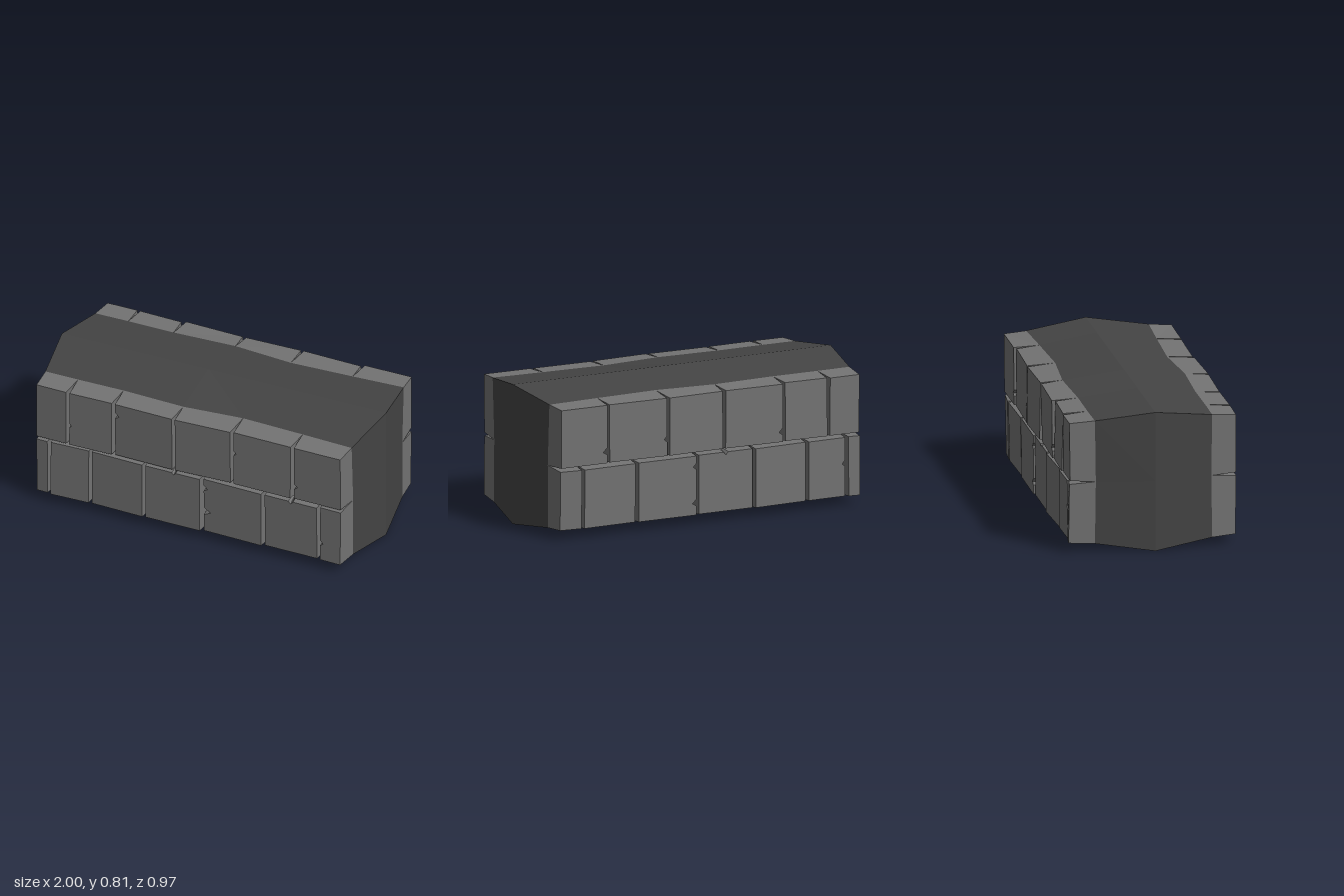
import * as THREE from 'three';

const END = 0.948, MID = 0.41, MID_Z = 0.33;

// Two courses of bricks: joint positions in x, depth of the outer seam at each joint,
// heights, and chips as [side 0 front / 1 back, brick, edge, position, depth, length]
const courses = [
  {
    name: 'upperCourse', outer: 0.765,
    joints: [-END, -0.745, -0.465, -0.09, 0.265, 0.64, END],
    seam: [0.335, 0.337, 0.335, 0.35, 0.32, 0.335, 0.35],
    chips: [[0, 1, 'left', 0.545, 0.012, 0.03], [0, 2, 'left', 0.68, 0.026, 0.04],
      [0, 4, 'left', 0.62, 0.016, 0.03], [0, 5, 'left', 0.5, 0.022, 0.035],
      [1, 2, 'left', 0.48, 0.022, 0.04], [1, 4, 'left', 0.52, 0.018, 0.035],
      [1, 5, 'left', 0.49, 0.026, 0.04]],
  },
  {
    name: 'lowerCourse', outer: 0.05,
    joints: [-END, -0.86, -0.61, -0.275, 0.08, 0.46, 0.8, END],
    seam: [0.335, 0.34, 0.33, 0.335, 0.34, 0.33, 0.335, 0.335],
    chips: [[0, 4, 'left', 0.34, 0.024, 0.035], [0, 4, 'left', 0.19, 0.042, 0.05],
      [0, 6, 'left', 0.17, 0.02, 0.035], [0, 5, 'top', 0.63, 0.016, 0.03],
      [0, 3, 'top', -0.09, 0.014, 0.025], [1, 4, 'left', 0.34, 0.02, 0.035],
      [1, 4, 'left', 0.13, 0.024, 0.04], [1, 1, 'left', 0.25, 0.018, 0.035],
      [1, 3, 'top', -0.1, 0.016, 0.03]],
  },
];

// Seeded generator, returns -0.5 .. 0.5
function makeRandom(seed) {
  return () => {
    seed = (seed * 16807) % 2147483647;
    return seed / 2147483647 - 0.5;
  };
}

// Collects triangles; flip reverses the corner order for mirrored parts
function meshBuilder(flip) {
  const pos = [];
  const tri = (a, b, c) => pos.push(...a, ...(flip ? c : b), ...(flip ? b : c));
  return {
    tri,
    quad(a, b, c, d) { tri(a, b, c); tri(a, c, d); },
    build(name, material) {
      const g = new THREE.BufferGeometry();
      g.setAttribute('position', new THREE.Float32BufferAttribute(pos, 3));
      g.computeVertexNormals();
      const mesh = new THREE.Mesh(g, material);
      mesh.name = name;
      return mesh;
    },
  };
}

// One brick: a slightly tilted, chipped face tapering out to its root on the core
function makeBrick(course, i, side, rnd, material) {
  const s = side ? -1 : 1;
  const upper = course.outer > MID;
  const x0 = course.joints[i], x1 = course.joints[i + 1];
  const y0 = upper ? MID : course.outer, y1 = upper ? course.outer : MID;
  const gap = () => 0.01 + rnd() * 0.004;
  const fx0 = x0 + gap(), fx1 = x1 - gap(), fy0 = y0 + gap(), fy1 = y1 - gap();
  const tiltX = rnd() * 0.014, tiltY = rnd() * 0.008, base = 0.476 + rnd() * 0.006;
  const face = (x, y) => [x, y, s * (base
    + tiltX * ((x - x0) / (x1 - x0) - 0.5) * 2 + tiltY * ((y - y0) / (y1 - y0) - 0.5) * 2)];
  const root = (x, y) => {
    const z = THREE.MathUtils.lerp(course.seam[i], course.seam[i + 1], (x - x0) / (x1 - x0));
    const t = Math.abs((y - MID) / (course.outer - MID));
    return [x, y, s * THREE.MathUtils.lerp(MID_Z, z, t)];
  };

  // Outline as [face x, face y, root x, root y], counter-clockwise
  const outline = [[fx0, fy0, x0, y0], [fx1, fy0, x1, y0], [fx1, fy1, x1, y1]];
  const chips = course.chips.filter(c => c[0] === side && c[1] === i);
  for (const [, , edge, p, d, len] of chips.filter(c => c[2] === 'top')) {
    outline.push([p + len / 2, fy1, p + len / 2, y1], [p, fy1 - d, p, y1],
      [p - len / 2, fy1, p - len / 2, y1]);
  }
  outline.push([fx0, fy1, x0, y1]);
  for (const [, , edge, p, d, len] of chips.filter(c => c[2] === 'left')) {
    outline.push([fx0, p + len / 2, x0, p + len / 2], [fx0 + d, p - len * 0.1, x0, p],
      [fx0, p - len / 2, x0, p - len / 2]);
  }

  const m = meshBuilder(side === 1);
  const F = outline.map(o => face(o[0], o[1]));
  const R = outline.map(o => root(o[2], o[3]));
  const flat = outline.map(o => new THREE.Vector2(o[0], o[1]));
  for (const [a, b, c] of THREE.ShapeUtils.triangulateShape(flat, [])) m.tri(F[a], F[b], F[c]);
  F.forEach((f, k) => {
    const n = (k + 1) % F.length;
    m.quad(f, R[k], R[n], F[n]);
  });
  return m.build('brick', material);
}

// Core: widest at its middle, narrowing to the brick roots front and back
function makeCore(material) {
  const [up, low] = courses;
  const edge = c => c.joints.map((x, i) => [x, c.outer, c.seam[i]]);
  const loop = [...edge(low), [END, MID, MID_Z], ...edge(up).reverse(), [-END, MID, MID_Z]];
  const middle = loop.map(([x, y]) => [x / END,
    y === up.outer ? 0.81 : y === low.outer ? 0.003 : MID, 0]);
  const m = meshBuilder(false);
  loop.forEach((p, k) => {
    const q = loop[(k + 1) % loop.length];
    const a = middle[k], b = middle[(k + 1) % loop.length];
    m.quad(p, a, b, q);
    m.quad([p[0], p[1], -p[2]], [q[0], q[1], -q[2]], b, a);
  });
  return m.build('core', material);
}

export function createModel() {
  const model = new THREE.Group();
  model.name = 'brickWallBlock';
  const stone = new THREE.MeshStandardMaterial({ color: 0x737373, flatShading: true });
  const mortar = new THREE.MeshStandardMaterial({ color: 0x444444, flatShading: true });
  model.add(makeCore(mortar));

  const rnd = makeRandom(4217);
  for (const side of [0, 1]) {
    for (const course of courses) {
      const row = new THREE.Group();
      row.name = (side ? 'back_' : 'front_') + course.name;
      for (let i = 0; i < course.joints.length - 1; i++) {
        row.add(makeBrick(course, i, side, rnd, stone));
      }
      model.add(row);
    }
  }
  return model;
}
